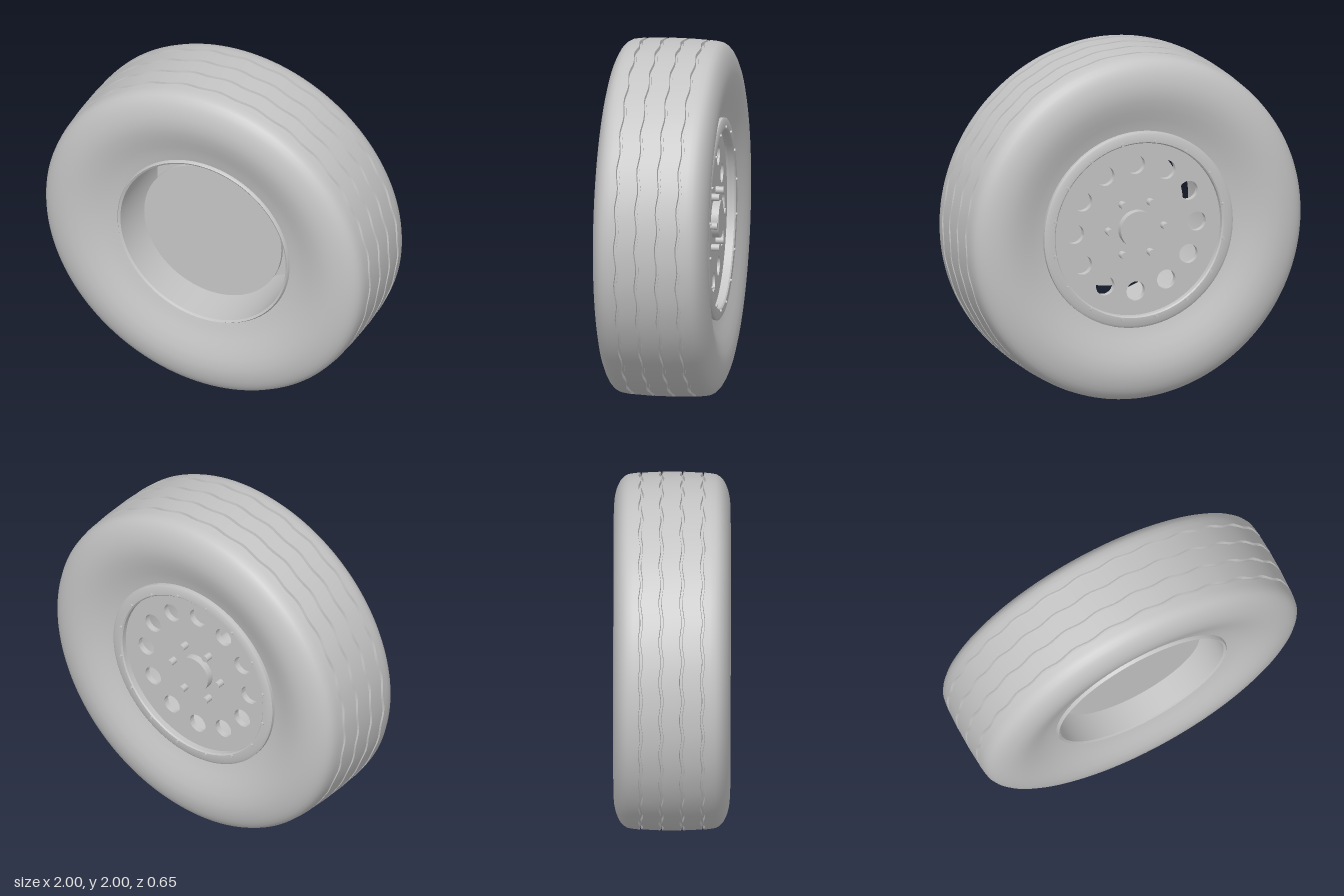
import * as THREE from 'three';
import { toCreasedNormals } from 'three/addons/utils/BufferGeometryUtils.js';

const grey = new THREE.MeshStandardMaterial({ color: 0xc4c4c4 });
grey.name = 'plain grey';

export function createModel() {
  const wheel = new THREE.Group();
  wheel.name = 'wheel';
  wheel.position.y = 1; // stands on the ground

  const add = (name, geometry) => {
    const mesh = new THREE.Mesh(geometry, grey);
    mesh.name = name;
    wheel.add(mesh);
    return mesh;
  };

  // Turn a [radius, z] profile about the axle
  const turn = (profile, segments, rule) => {
    const g = new THREE.LatheGeometry(profile.map(([r, z]) => new THREE.Vector2(r, z)), segments);
    g.rotateX(Math.PI / 2);
    if (rule) rule(g.attributes.position);
    return toCreasedNormals(g, 0.6);
  };

  // Solid disc or pin along the axle, between two z values
  const pin = (name, radius, z0, z1, x = 0, y = 0, sides = 64) => {
    const g = new THREE.CylinderGeometry(radius, radius, Math.abs(z1 - z0), sides);
    g.rotateX(Math.PI / 2);
    add(name, g).position.set(x, y, (z0 + z1) / 2);
  };

  // Repeat evenly around the axle
  const around = (count, radius, offset, fn) => {
    for (let i = 0; i < count; i++) {
      const a = ((i + offset) / count) * Math.PI * 2;
      fn(radius * Math.cos(a), radius * Math.sin(a));
    }
  };

  // Tyre: dished sidewalls, rounded shoulders, four wavy tread grooves
  const side = [
    [0.53, 0.25], [0.57, 0.26], [0.6, 0.268], [0.64, 0.281], [0.69, 0.299], [0.75, 0.316],
    [0.81, 0.325], [0.86, 0.32], [0.9, 0.311], [0.93, 0.299], [0.955, 0.285], [0.974, 0.267],
    [0.986, 0.245], [0.991, 0.215],
  ];
  const treadRadius = (z) => 1 - 0.18 * z * z;
  const grooves = [];
  for (const c of [-0.173, -0.058, 0.058, 0.173]) {
    const r = treadRadius(c);
    grooves.push([r, c - 0.009], [r - 0.018, c - 0.006], [r - 0.018, c + 0.006], [r, c + 0.009]);
  }
  const tyreProfile = [
    ...side.map(([r, z]) => [r, -z]),
    ...grooves,
    ...side.slice().reverse(),
  ];
  const waves = 28;
  add('tyre', turn(tyreProfile, waves * 6, (p) => {
    for (let i = 0; i < p.count; i++) {
      const x = p.getX(i), y = p.getY(i), z = p.getZ(i);
      if (Math.abs(z) < 0.2) p.setZ(i, z + 0.006 * Math.sin(waves * Math.atan2(y, x)));
    }
  }));

  // Rim barrel with a narrow front lip
  add('rimBarrel', turn([
    [0.515, 0.262], [0.515, -0.27], [0.535, -0.27], [0.535, 0.258], [0.527, 0.27], [0.515, 0.262],
  ], 96));

  // Clamp ring on the back with rivets
  add('clampRing', turn([
    [0.5, -0.25], [0.5, -0.28], [0.507, -0.287], [0.552, -0.287], [0.566, -0.278], [0.566, -0.25], [0.5, -0.25],
  ], 96));
  around(16, 0.514, 0.5, (x, y) => pin('rivet', 0.009, -0.28, -0.296, x, y, 12));

  // Wheel plate with twelve round holes
  const plate = new THREE.Shape().absarc(0, 0, 0.517, 0, Math.PI * 2);
  around(12, 0.366, 0, (x, y) => {
    plate.holes.push(new THREE.Path().absarc(x, y, 0.055, 0, Math.PI * 2, true));
  });
  const plateGeometry = new THREE.ExtrudeGeometry(plate, { depth: 0.035, bevelEnabled: false, curveSegments: 40 });
  plateGeometry.translate(0, 0, -0.235);
  add('wheelPlate', toCreasedNormals(plateGeometry, 0.6));

  // Hub cap and six lug bolts
  pin('hubCap', 0.105, -0.21, -0.277);
  around(6, 0.167, 0, (x, y) => pin('lugBolt', 0.02, -0.21, -0.28, x, y, 20));

  // Brake disc at the front, carried on a short axle
  pin('brakeDisc', 0.427, 0.12, 0.14, 0, 0, 96);
  pin('axle', 0.08, -0.21, 0.13);

  const model = new THREE.Group();
  model.name = 'model';
  model.add(wheel);
  return model;
}
